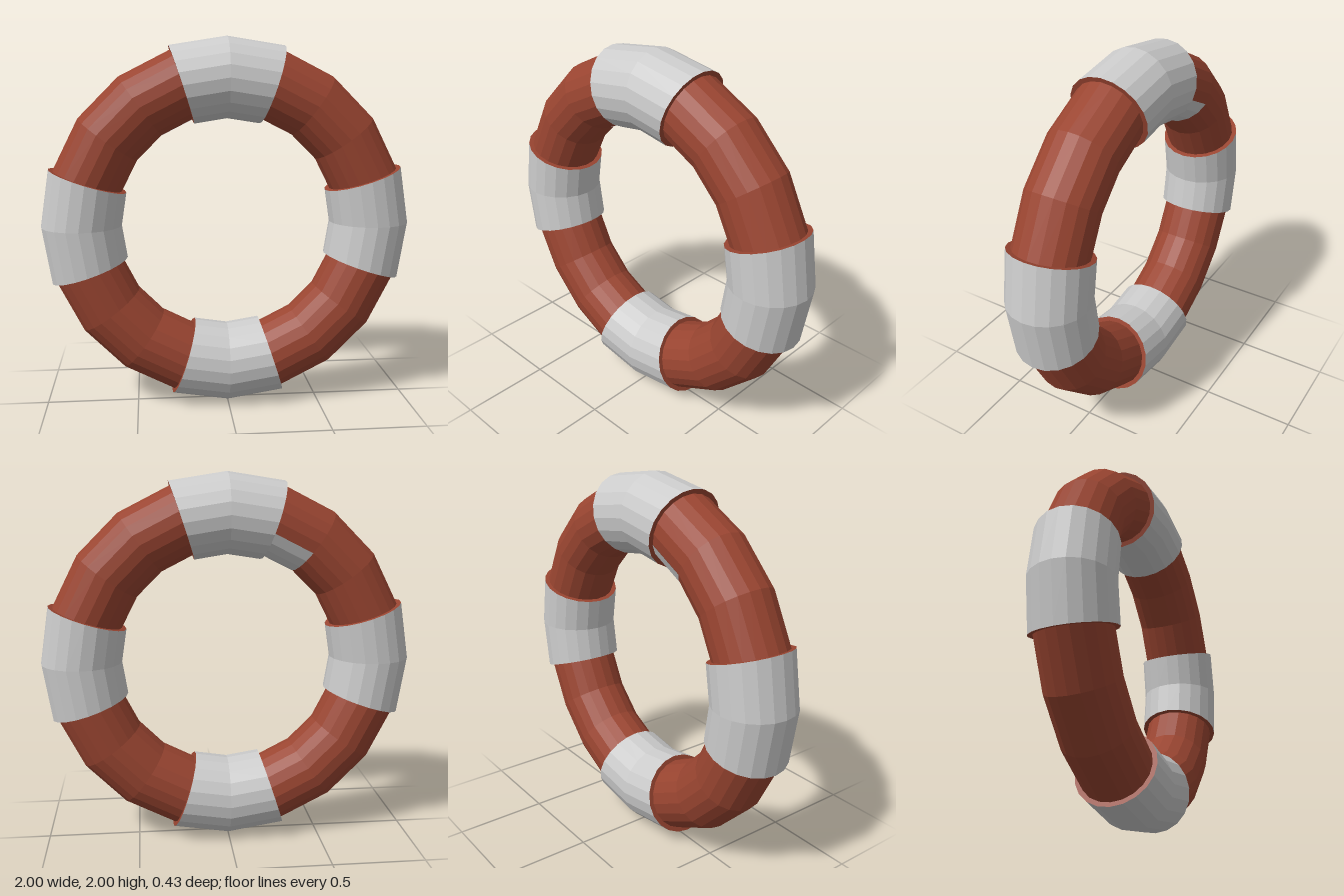
import * as THREE from 'three';

const RING = 0.785;      // radius of the ring's centre line
const TUBE = 0.19;       // radius of the float tube
const CUFF = 0.215;      // radius of the wrapped bands
const SIDES = 20;
const rad = THREE.MathUtils.degToRad;

// Sweeps part of the tube section (from..to) around the ring (start..end), all in degrees.
function sweep(radius, from, to, start, end, segments) {
  const count = Math.round((to - from) / 18);
  const profile = [];
  for (let i = 0; i <= count; i++) {
    const a = rad(from + (to - from) * i / count);
    profile.push(new THREE.Vector2(RING + radius * Math.cos(a), radius * Math.sin(a)));
  }
  const geometry = new THREE.LatheGeometry(profile, segments, rad(start + 90), rad(end - start));
  return geometry.rotateX(Math.PI / 2);
}

export function createModel() {
  const model = new THREE.Group();
  model.name = 'lifebuoy';
  const red = new THREE.MeshStandardMaterial({ color: 0x9a4531, flatShading: true, side: THREE.DoubleSide });
  const grey = new THREE.MeshStandardMaterial({ color: 0xcccccc, flatShading: true, side: THREE.DoubleSide });

  const add = (parent, name, geometry, material) => {
    const mesh = new THREE.Mesh(geometry, material);
    mesh.name = name;
    parent.add(mesh);
    return mesh;
  };

  const ring = new THREE.Group();
  ring.name = 'ring';
  ring.position.y = 1;
  model.add(ring);

  // Float tube
  add(ring, 'floatTube', sweep(TUBE, 0, 360, 0, 360, 20), red);

  // Four bands with red end faces
  ['left', 'top', 'right', 'bottom'].forEach((side, i) => {
    const band = new THREE.Group();
    band.name = side + 'Band';
    band.rotation.z = i * Math.PI / 2;
    ring.add(band);
    add(band, 'bandSleeve', sweep(CUFF, 0, 360, -18, 18, 2), grey);
    for (const angle of [-18, 18]) {
      const cap = new THREE.RingGeometry(TUBE - 0.005, CUFF, SIDES);
      cap.rotateX(Math.PI / 2).translate(RING, 0, 0).rotateZ(rad(angle));
      add(band, 'bandEnd', cap, red);
    }
  });

  // Loose strip on the inner back of the tube, running out from under the top band
  add(ring, 'innerStrip', sweep(TUBE + 0.002, 180, 252, 72, 126, 3), grey);

  return model;
}
